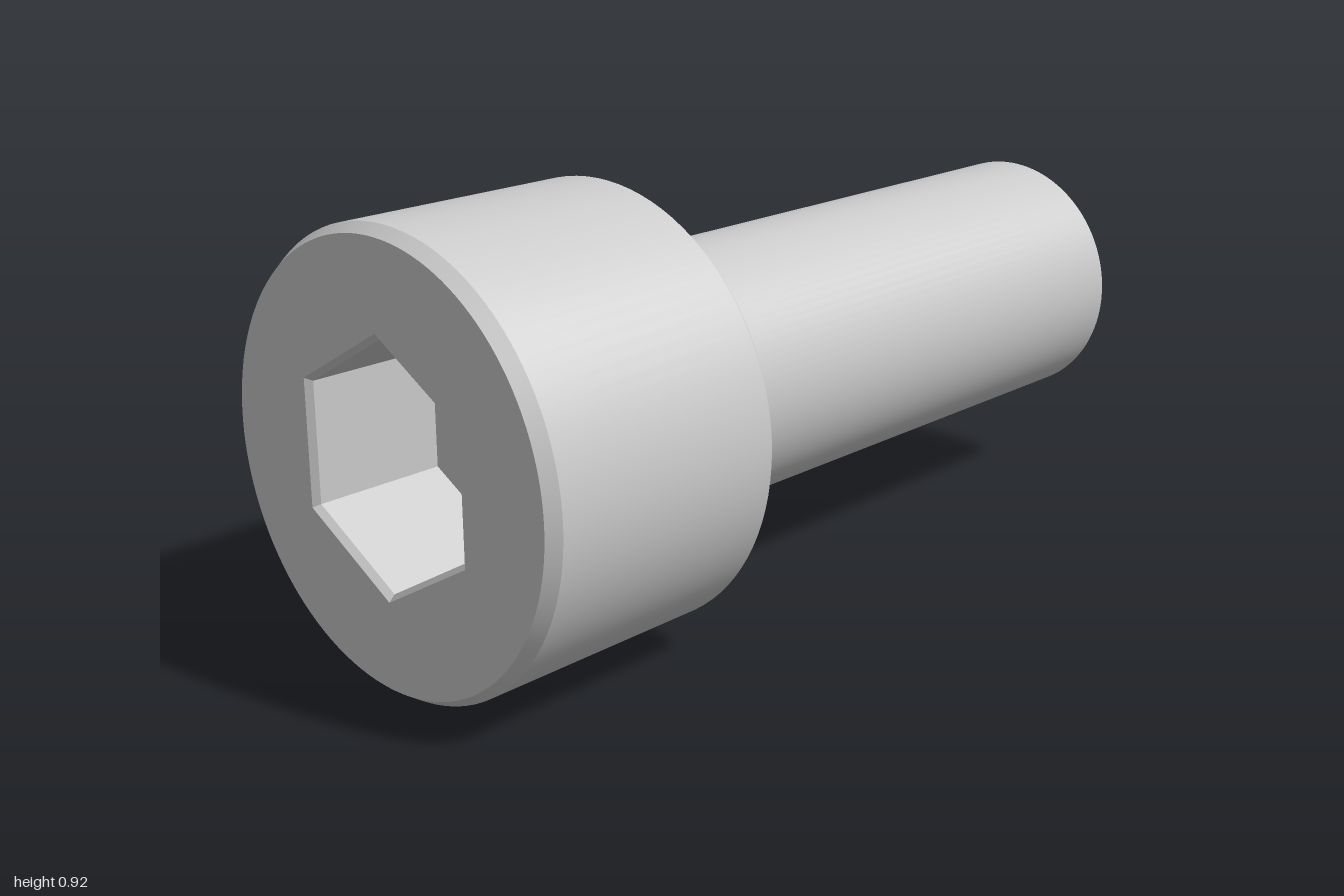
import * as THREE from 'three';
import { mergeGeometries } from 'three/addons/utils/BufferGeometryUtils.js';

const SEG = 96;
const HEAD_X = -0.994, SEAT_X = -0.425, TIP_X = 0.996;
const HEAD_R = 0.462, SHAFT_R = 0.2825;
const HEX_R = 0.263, HEX_INNER_R = 0.25, SOCKET_DEPTH = 0.3;

// Revolves a profile of [radius, x] points around the x axis, keeping every edge sharp
function turned(profile, segments = SEG, start = 0) {
  const bands = [];
  for (let i = 0; i < profile.length - 1; i++) {
    const pair = [profile[i], profile[i + 1]].map(([r, x]) => new THREE.Vector2(r, x));
    bands.push(new THREE.LatheGeometry(pair, segments, start));
  }
  return mergeGeometries(bands).rotateZ(-Math.PI / 2);
}

export function createModel() {
  const smooth = new THREE.MeshStandardMaterial({ color: 0xcccccc });
  const faceted = new THREE.MeshStandardMaterial({ color: 0xcccccc, flatShading: true });
  const model = new THREE.Group();
  model.name = 'socketHeadBolt';
  const bolt = new THREE.Group();
  bolt.name = 'bolt';
  model.add(bolt);

  const add = (name, geometry, material = smooth) => {
    const mesh = new THREE.Mesh(geometry, material);
    mesh.name = name;
    bolt.add(mesh);
  };

  // Cylindrical head with chamfered rims and a flat underside
  add('head', turned([
    [HEAD_R - 0.018, HEAD_X],
    [HEAD_R, HEAD_X + 0.027],
    [HEAD_R, SEAT_X - 0.01],
    [HEAD_R - 0.0085, SEAT_X],
    [SHAFT_R, SEAT_X],
  ]));

  // Shaft with a chamfered tip
  add('shaft', turned([
    [SHAFT_R, SEAT_X],
    [SHAFT_R, TIP_X - 0.025],
    [SHAFT_R - 0.02, TIP_X],
    [0, TIP_X],
  ]));

  // Head end face with a hexagonal opening, points up and down
  const face = new THREE.Shape();
  face.absarc(0, 0, HEAD_R - 0.018, 0, Math.PI * 2);
  const opening = [];
  for (let i = 0; i < 6; i++) {
    const a = Math.PI / 2 + i * Math.PI / 3;
    opening.push(new THREE.Vector2(HEX_R * Math.cos(a), HEX_R * Math.sin(a)));
  }
  face.holes.push(new THREE.Path(opening));
  add('headFace', new THREE.ShapeGeometry(face, SEG)
    .rotateY(-Math.PI / 2).translate(HEAD_X, 0, 0));

  // Hexagonal key socket: floor, walls and a narrow lead-in chamfer
  add('hexSocket', turned([
    [0, HEAD_X + SOCKET_DEPTH],
    [HEX_INNER_R, HEAD_X + SOCKET_DEPTH],
    [HEX_INNER_R, HEAD_X + 0.013],
    [HEX_R, HEAD_X],
  ], 6, Math.PI / 2), faceted);

  // The bolt lies level, turned very slightly about the vertical
  bolt.rotation.y = 0.0139;
  bolt.position.set(0, HEAD_R, -0.0098);
  return model;
}
